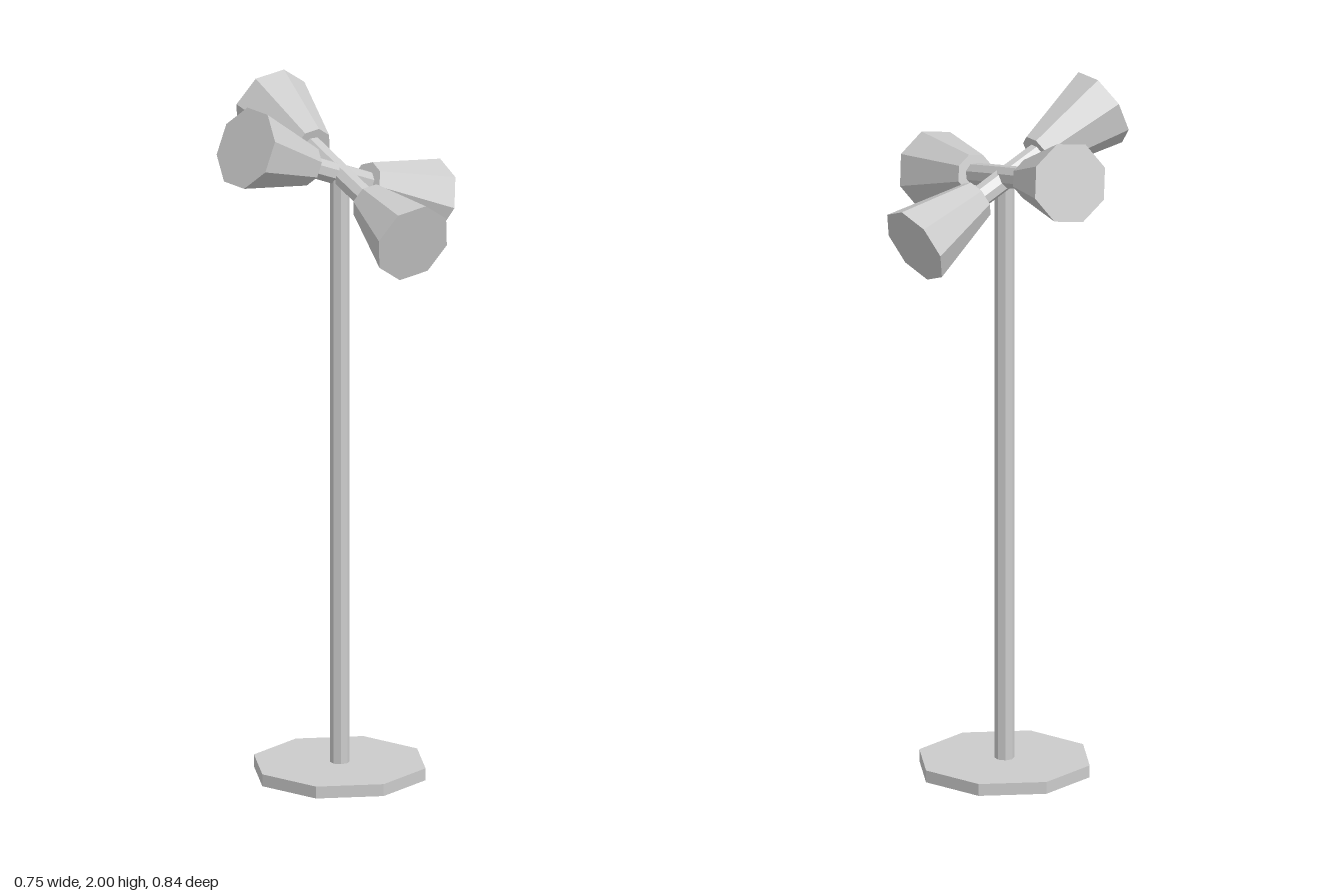
import * as THREE from 'three';

const SIDES = 8;
const V = (x, y, z) => new THREE.Vector3(x, y, z);

export function createModel() {
  const group = new THREE.Group();
  group.name = 'floorLamp';
  const material = new THREE.MeshStandardMaterial({ color: 0xcccccc, flatShading: true });

  // Eight-sided cylinder standing on its own origin
  function prism(name, rTop, rBottom, height, spin) {
    const geometry = new THREE.CylinderGeometry(rTop, rBottom, height, SIDES, 1, false, spin);
    geometry.translate(0, height / 2, 0);
    const mesh = new THREE.Mesh(geometry, material);
    mesh.name = name;
    return mesh;
  }

  // Round foot and upright pole
  group.add(prism('base', 0.25, 0.25, 0.035, 0));
  const pole = prism('pole', 0.028, 0.028, 1.735, Math.PI / 8);
  pole.position.y = 0.03;
  group.add(pole);

  // Tilted cross of four arms, each ending in a flared shade.
  // mouth = centre of the shade's wide end, spin = turn of the shade about its arm
  const lampLength = 0.242;
  const sideHub = V(0, 1.758, -0.015);
  const mainHub = V(0.007, 1.757, -0.005);
  const lamps = [
    { name: 'front', hub: mainHub, mouth: V(0.015, 1.66, 0.389), spin: -13 },
    { name: 'back', hub: mainHub, mouth: V(0.005, 1.852, -0.4), spin: 13 },
    { name: 'left', hub: sideHub, mouth: V(0.325, 1.62, -0.072), spin: 0 },
    { name: 'right', hub: sideHub, mouth: V(-0.325, 1.897, 0.038), spin: 22.5 },
  ];

  for (const { name, hub, mouth, spin } of lamps) {
    const dir = mouth.clone().sub(hub);
    const reach = dir.length();
    dir.normalize();

    // Local y runs along the arm, local z is the upward side
    const xAxis = dir.clone().cross(V(0, 1, 0)).normalize();
    const zAxis = xAxis.clone().cross(dir);
    const arm = new THREE.Group();
    arm.name = name + 'Lamp';
    arm.quaternion.setFromRotationMatrix(new THREE.Matrix4().makeBasis(xAxis, dir, zAxis));
    arm.position.copy(hub);

    arm.add(prism(name + 'Arm', 0.032, 0.032, reach - lampLength + 0.02, Math.PI / 8));
    const shade = prism(name + 'Shade', 0.118, 0.058, lampLength, THREE.MathUtils.degToRad(spin));
    shade.position.y = reach - lampLength;
    arm.add(shade);
    group.add(arm);
  }

  return group;
}
